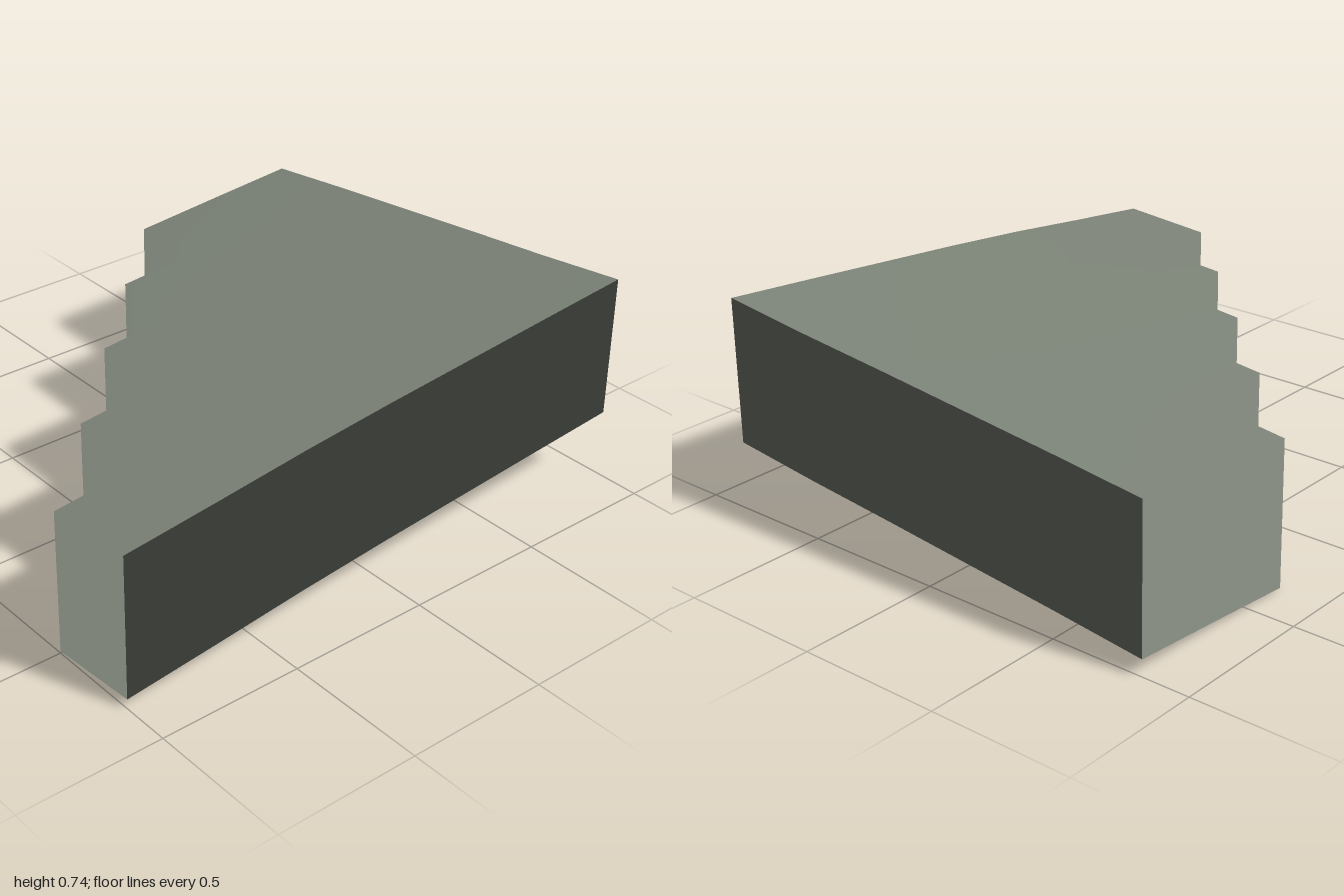
import * as THREE from 'three';

// Height of the sloping surface: a rise along x, a rise towards the back, and a slight bulge
const STEP = 1 / 3, THICK = 0.5;
const riseX = [-0.185, -0.146, -0.11, -0.074, -0.04, -0.001];
const riseZ = [0.744, 0.714, 0.683, 0.652, 0.617, 0.576, 0.537];
const height = (i, j) => riseX[i] + riseZ[j] + 0.0004 * (i + 1) * (5 - i) * j;

// Each column of cells reaches one cell further forward than the one before
const filled = (i, j) => i >= 0 && i < 5 && j >= 0 && j < i + 2;

const point = ([i, j], drop = 0) =>
  new THREE.Vector3(-2.5 * STEP + i * STEP, height(i, j) - drop, -1 + j * STEP);

// Surface normal at a grid point, from the slope between its neighbours
function normalAt([i, j]) {
  const i0 = Math.max(i - 1, 0), i1 = Math.min(i + 1, 5);
  const j0 = Math.max(j - 1, 0), j1 = Math.min(j + 1, 6);
  const sx = (height(i1, j) - height(i0, j)) / ((i1 - i0) * STEP);
  const sz = (height(i, j1) - height(i, j0)) / ((j1 - j0) * STEP);
  return new THREE.Vector3(-sx, 1, -sz).normalize();
}

// Collects quads and turns them into a mesh
function sheet(name, material) {
  const pos = [], nor = [];
  return {
    quad(points, normals) {
      for (const k of [0, 1, 2, 0, 2, 3]) {
        pos.push(...points[k].toArray());
        nor.push(...normals[k].toArray());
      }
    },
    mesh() {
      const g = new THREE.BufferGeometry();
      g.setAttribute('position', new THREE.Float32BufferAttribute(pos, 3));
      g.setAttribute('normal', new THREE.Float32BufferAttribute(nor, 3));
      const m = new THREE.Mesh(g, material);
      m.name = name;
      return m;
    },
  };
}

export function createModel() {
  // Open shell: a top with a hanging skirt and no underside
  const stone = new THREE.MeshStandardMaterial({ color: 0x7d8478, side: THREE.DoubleSide });
  stone.name = 'greyGreenStone';

  const top = sheet('topSurface', stone);
  const skirt = sheet('sideSkirt', stone);

  for (let i = 0; i < 5; i++) {
    for (let j = 0; filled(i, j); j++) {
      // Corners run counter-clockwise seen from above
      const c = [[i, j], [i, j + 1], [i + 1, j + 1], [i + 1, j]];
      const up = c.map(normalAt);
      top.quad(c.map((p) => point(p)), up);

      // Skirt only where there is no neighbour; it keeps the top's normals so both shade as one
      [[-1, 0], [0, 1], [1, 0], [0, -1]].forEach(([di, dj], k) => {
        if (filled(i + di, j + dj)) return;
        const n = (k + 1) % 4, a = c[k], b = c[n];
        skirt.quad([point(a), point(a, THICK), point(b, THICK), point(b)], [up[k], up[k], up[n], up[n]]);
      });
    }
  }

  const group = new THREE.Group();
  group.name = 'steppedSlab';
  group.add(top.mesh(), skirt.mesh());
  return group;
}
